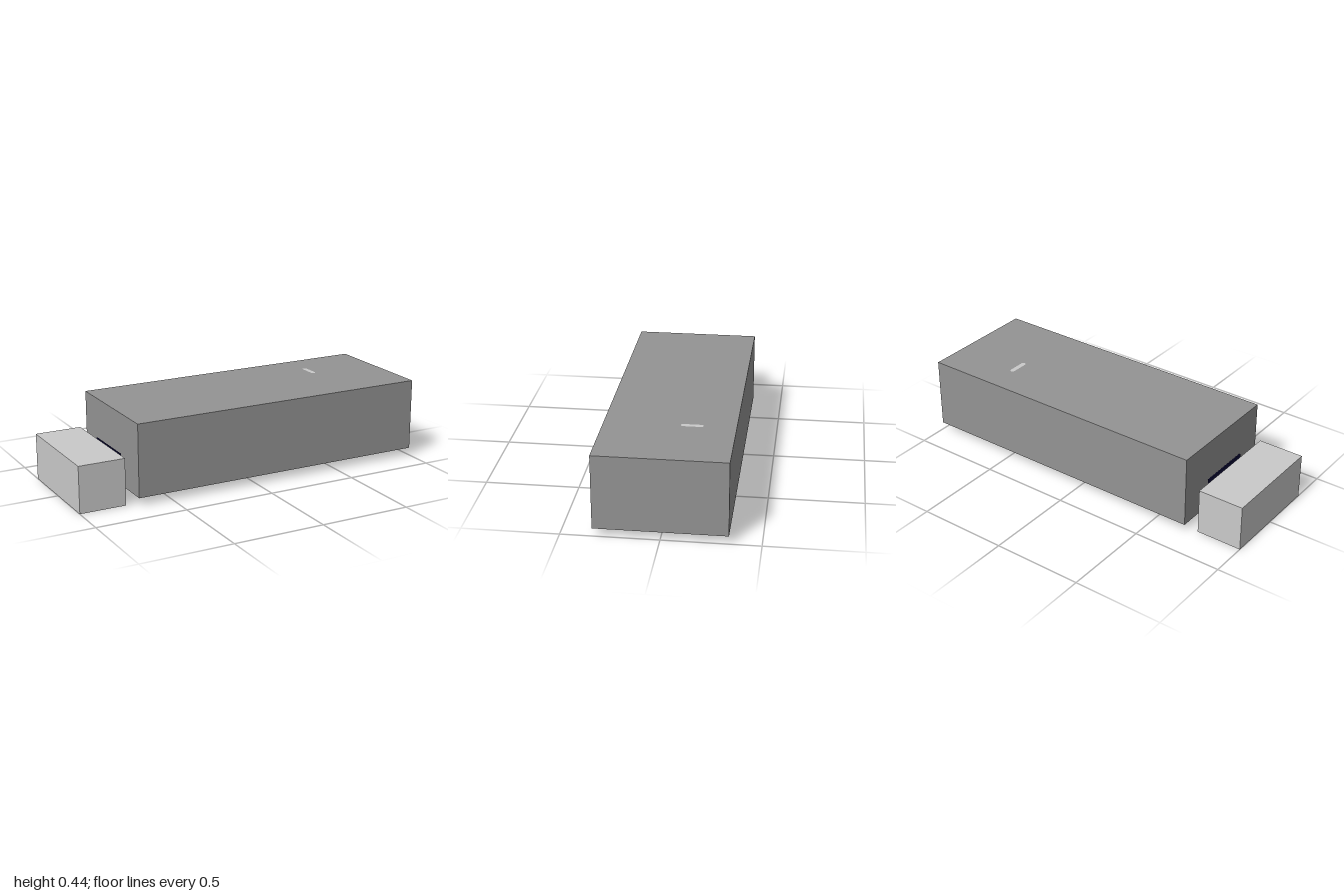
import * as THREE from 'three';

const paint = (name, color) => {
  const m = new THREE.MeshStandardMaterial({ color });
  m.name = name;
  return m;
};

// Box given by its [min, max] range on each axis
function block(name, material, [x0, x1], [y0, y1], [z0, z1]) {
  const mesh = new THREE.Mesh(new THREE.BoxGeometry(x1 - x0, y1 - y0, z1 - z0), material);
  mesh.position.set((x0 + x1) / 2, (y0 + y1) / 2, (z0 + z1) / 2);
  mesh.name = name;
  return mesh;
}

export function createModel() {
  const darkGrey = paint('dark grey', 0x949494);
  const lightGrey = paint('light grey', 0xcacaca);
  const navy = paint('navy', 0x0c0a38);

  const model = new THREE.Group();
  model.name = 'blockModel';

  // Long main body, raised slightly off the ground
  model.add(block('mainBody', darkGrey, [-0.69, 1], [0.043, 0.44], [-0.338, 0.338]));

  // Smaller block standing apart at the end
  model.add(block('endBlock', lightGrey, [-1, -0.745], [0, 0.255], [-0.296, 0.296]));

  // Thin upright panel in the gap between the blocks
  model.add(block('gapPanel', navy, [-0.711, -0.704], [0.045, 0.23], [-0.152, 0.152]));

  // Small rounded pale mark flush with the top of the body
  const mark = new THREE.Shape();
  mark.absarc(0, 0.045, 0.013, 0, Math.PI);
  mark.absarc(0, -0.045, 0.013, Math.PI, Math.PI * 2);
  const topMark = new THREE.Mesh(new THREE.ShapeGeometry(mark, 6), lightGrey);
  topMark.rotation.x = -Math.PI / 2;
  topMark.position.set(0.601, 0.4405, -0.113);
  topMark.name = 'topMark';
  model.add(topMark);

  return model;
}
